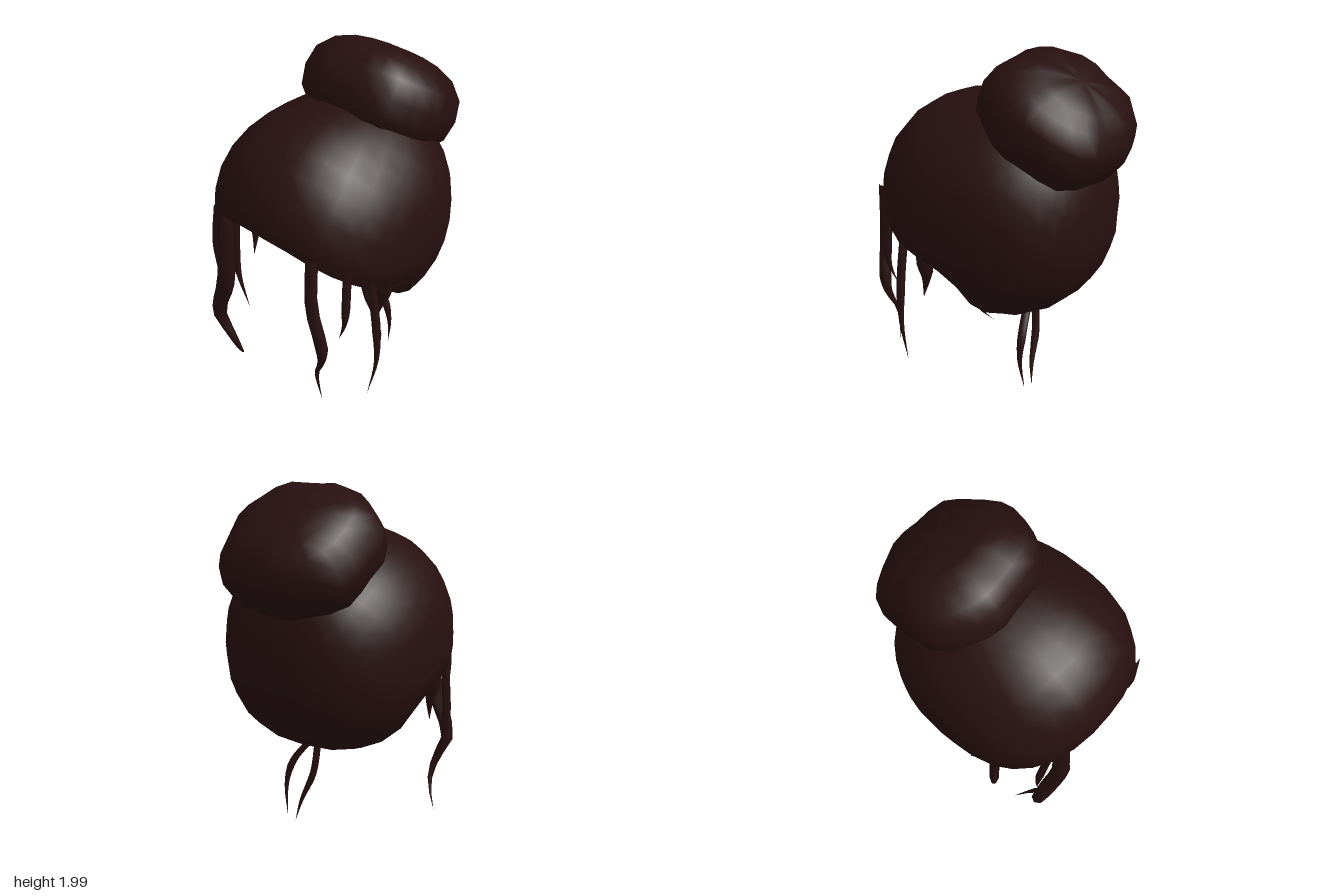
import * as THREE from 'three';
import { mergeVertices } from 'three/addons/utils/BufferGeometryUtils.js';

const hair = new THREE.MeshStandardMaterial({ color: 0x270f0f });
hair.name = 'dark brown hair';

// Closed-around grid surface: f(row, angle) gives a point
function surface(rows, cols, f) {
  const pos = [], idx = [];
  for (let j = 0; j <= rows; j++) {
    for (let i = 0; i < cols; i++) {
      pos.push(...f(j, (i / cols) * Math.PI * 2).toArray());
      if (j === rows) continue;
      const k = (i + 1) % cols, a = j * cols, b = a + cols;
      idx.push(a + i, b + i, b + k, a + i, b + k, a + k);
    }
  }
  let g = new THREE.BufferGeometry();
  g.setAttribute('position', new THREE.Float32BufferAttribute(pos, 3));
  g.setIndex(idx);
  g = mergeVertices(g, 1e-4);
  g.computeVertexNormals();
  return g;
}

// Unit direction around an axis leaning up and back
function direction(axisY, axisZ, theta, phi) {
  const s = Math.sin(theta), c = Math.cos(theta), q = s * Math.sin(phi);
  return new THREE.Vector3(s * Math.cos(phi), axisY * c + axisZ * q, axisZ * c - axisY * q);
}

// Distance to a rounded-box-like ellipsoid along d
function reach(d, rx, ry, rz, n) {
  return (Math.abs(d.x / rx) ** n + Math.abs(d.y / ry) ** n + Math.abs(d.z / rz) ** n) ** (-1 / n);
}

// Hairline height for each depth, front to nape
const hairline = [[0.75, 1.31], [0.7, 1.27], [0.6, 1.16], [0.5, 1.07], [0.35, 0.97], [0.14, 0.92],
  [0, 0.87], [-0.04, 0.8], [-0.08, 0.63], [-0.13, 0.52], [-0.16, 0.3]];
function hairlineY(z) {
  if (z > 0.75) return 1.31;
  for (let i = 1; i < hairline.length; i++) {
    const [z0, y0] = hairline[i - 1], [z1, y1] = hairline[i];
    if (z >= z1) return y0 + ((y1 - y0) * (z - z0)) / (z1 - z0);
  }
  return 0;
}

function capPoint(theta, phi, scale) {
  const d = direction(0.75, -0.6614, theta, phi);
  const p = d.multiplyScalar(reach(d, 0.585, 0.615, 0.645, 2.4) * scale);
  if (p.y > 0) p.x *= 1 - 0.16 * (p.y / 0.615) ** 2;
  return p.add(new THREE.Vector3(0, 1.115, 0.055));
}

// Outer shell down to the hairline, then back up as the inner lining
function capGeometry() {
  const outer = 11, limits = new Map();
  const limit = (phi) => {
    if (!limits.has(phi)) {
      let t = 0.4;
      for (; t < 3; t += 0.005) {
        const p = capPoint(t, phi, 1);
        if (p.y < hairlineY(p.z)) break;
      }
      limits.set(phi, t);
    }
    return limits.get(phi);
  };
  return surface(outer * 2 + 1, 28, (j, phi) => {
    const inside = j > outer;
    const t = inside ? (2 * outer + 1 - j) / outer : j / outer;
    return capPoint(t * limit(phi), phi, inside ? 0.93 : 1);
  });
}

// Squashed, slightly lobed bun
function bunGeometry() {
  return surface(12, 24, (j, phi) => {
    const theta = (j / 12) * Math.PI;
    const d = direction(1, 0, theta, phi);
    const lobes = 1 + 0.025 * Math.cos(7 * phi + 0.6) * Math.sin(theta);
    return d.multiplyScalar(reach(d, 0.42, 0.265, 0.4, 2.5) * lobes);
  });
}

// Tapered lock following a few points
function strandGeometry(points, radius, root) {
  const curve = new THREE.CatmullRomCurve3(points.map((p) => new THREE.Vector3(...p)));
  const rows = 12;
  return surface(rows, 6, (j, phi) => {
    const t = j / rows;
    const r = radius * Math.min(root + (1 - root) * t * 3, 1, (1 - t) * 1.7);
    const p = curve.getPoint(t);
    return p.add(new THREE.Vector3(r * Math.cos(phi), 0, -r * Math.sin(phi)));
  });
}

// name, radius, root width factor, path
const strands = [
  ['rightFrontLock', 0.053, 0.8, [[-0.28, 1.22, 0.6], [-0.28, 0.95, 0.61], [-0.29, 0.75, 0.62], [-0.36, 0.58, 0.6],
    [-0.42, 0.42, 0.58], [-0.36, 0.27, 0.55], [-0.35, 0.13, 0.5], [-0.43, 0.005, 0.41]]],
  ['rightTempleWisp', 0.022, 1, [[-0.36, 1.2, 0.58], [-0.41, 0.95, 0.57], [-0.415, 0.75, 0.56], [-0.4, 0.54, 0.55]]],
  ['rightSideLock', 0.027, 1, [[-0.51, 1.0, 0.33], [-0.53, 0.7, 0.34], [-0.525, 0.5, 0.33], [-0.47, 0.28, 0.31]]],
  ['leftSideLock', 0.024, 1, [[0.52, 1.02, 0.33], [0.565, 0.75, 0.33], [0.575, 0.5, 0.33], [0.52, 0.23, 0.34]]],
  ['leftFrontLock', 0.034, 1, [[0.36, 1.2, 0.59], [0.36, 0.9, 0.6], [0.41, 0.64, 0.58], [0.4, 0.54, 0.57],
    [0.34, 0.4, 0.55], [0.36, 0.21, 0.53]]],
  ['leftTempleWisp', 0.024, 1, [[0.48, 1.1, 0.46], [0.49, 0.9, 0.48], [0.48, 0.78, 0.48], [0.43, 0.65, 0.47]]],
  ['napeWispInner', 0.022, 1, [[0, 0.55, -0.18], [0.02, 0.36, -0.2], [0.09, 0.18, -0.22], [0.12, 0.05, -0.24]]],
  ['napeWispOuter', 0.024, 1, [[0.06, 0.54, -0.17], [0.16, 0.4, -0.2], [0.2, 0.25, -0.21], [0.18, 0.06, -0.23]]],
];
// Short wisps in front of the ears, mirrored
for (const s of [-1, 1]) {
  strands.push([s > 0 ? 'leftEarWisp' : 'rightEarWisp', 0.045, 1.3,
    [[0.52 * s, 0.98, 0.2], [0.51 * s, 0.87, 0.2], [0.49 * s, 0.78, 0.21], [0.47 * s, 0.64, 0.25]]]);
}

export function createModel() {
  const model = new THREE.Group();
  model.name = 'hairstyle';
  const add = (name, geometry) => {
    const mesh = new THREE.Mesh(geometry, hair);
    mesh.name = name;
    model.add(mesh);
    return mesh;
  };
  add('hairCap', capGeometry());
  const bun = add('bun', bunGeometry());
  bun.position.set(0, 1.66, -0.31);
  bun.rotation.x = -0.56;
  for (const [name, radius, root, path] of strands) add(name, strandGeometry(path, radius, root));
  return model;
}
